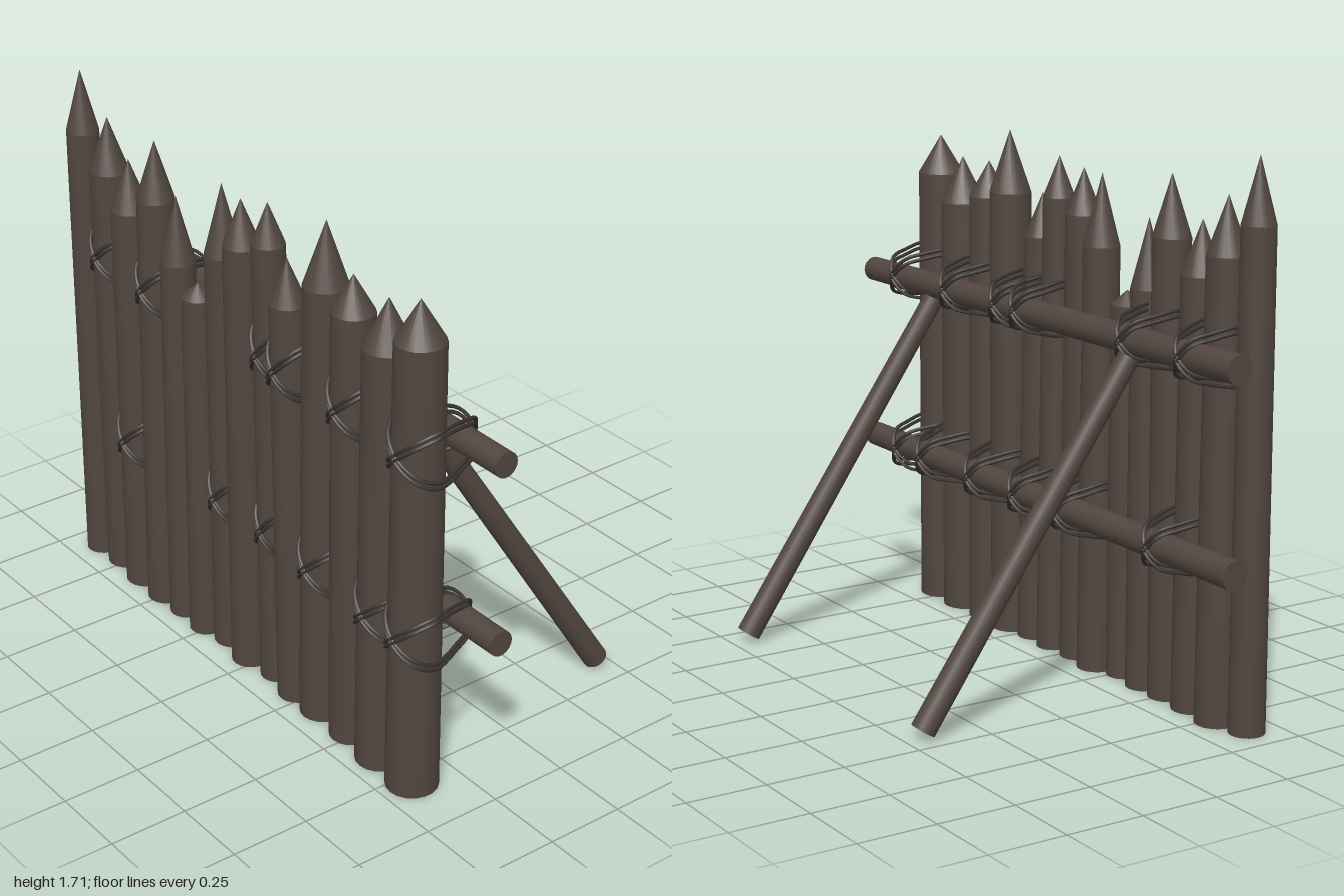
import * as THREE from 'three';
import { mergeGeometries } from 'three/addons/utils/BufferGeometryUtils.js';

const RAIL_Z = 0.247;

// Each stake: base x, tip x, z, base radius, shoulder height, tip height
const STAKES = [
  [-0.89, -0.89, 0.39, 0.056, 1.51, 1.71],
  [-0.77, -0.777, 0.37, 0.067, 1.41, 1.585],
  [-0.635, -0.64, 0.385, 0.067, 1.33, 1.495],
  [-0.505, -0.483, 0.39, 0.064, 1.42, 1.61],
  [-0.39, -0.38, 0.385, 0.06, 1.25, 1.465],
  [-0.267, -0.26, 0.395, 0.055, 1.18, 1.225],
  [-0.16, -0.165, 0.365, 0.062, 1.35, 1.575],
  [-0.035, -0.04, 0.385, 0.062, 1.43, 1.575],
  [0.088, 0.072, 0.37, 0.055, 1.47, 1.6],
  [0.21, 0.185, 0.385, 0.061, 1.33, 1.47],
  [0.33, 0.36, 0.375, 0.073, 1.45, 1.65],
  [0.48, 0.49, 0.38, 0.07, 1.42, 1.535],
  [0.63, 0.655, 0.385, 0.08, 1.38, 1.53],
  [0.787, 0.803, 0.392, 0.081, 1.46, 1.585],
];

// Stakes tied to each rail
const UPPER_TIES = [1, 3, 8, 9, 11, 13];
const LOWER_TIES = [2, 6, 8, 10, 12, 13];

// Sharpened log, sheared sideways so that it leans
function stakeGeometry([x0, x1, z, r, shoulder, tip]) {
  const top = r * 0.93;
  const shaft = new THREE.CylinderGeometry(top, r, shoulder, 18, 3).translate(0, shoulder / 2, 0);
  const point = new THREE.ConeGeometry(top, tip - shoulder, 18, 1, true)
    .translate(0, (shoulder + tip) / 2, 0);
  const geo = mergeGeometries([shaft, point]);
  const p = geo.attributes.position;
  for (let i = 0; i < p.count; i++) {
    p.setX(i, p.getX(i) + x0 + ((x1 - x0) * p.getY(i)) / tip);
  }
  return geo.translate(0, 0, z);
}

// Straight round pole between two points
function pole(name, a, b, rA, rB, material) {
  const from = new THREE.Vector3(...a);
  const to = new THREE.Vector3(...b);
  const dir = to.clone().sub(from);
  const mesh = new THREE.Mesh(new THREE.CylinderGeometry(rB, rA, dir.length(), 18), material);
  mesh.name = name;
  mesh.position.copy(from).add(to).multiplyScalar(0.5);
  mesh.quaternion.setFromUnitVectors(new THREE.Vector3(0, 1, 0), dir.normalize());
  return mesh;
}

// Crossed double rope around a stake and the rail behind it
function lashing(stake, y, material) {
  const [x0, x1, z, r, , tip] = stake;
  const x = x0 + ((x1 - x0) * y) / tip;
  const strands = [];
  for (const s of [-1, 1]) {
    for (const d of [-0.009, 0.009]) {
      const path = [
        [0, 0, z + r + 0.004],
        [r * 0.72, 0.05 * s, z + r * 0.74],
        [r * 1.06, 0.078 * s, z],
        [0.055, 0.065 * s, RAIL_Z + 0.03],
        [0.035, 0.048 * s, RAIL_Z - 0.025],
        [0, 0, RAIL_Z - 0.052],
        [-0.035, -0.048 * s, RAIL_Z - 0.025],
        [-0.055, -0.065 * s, RAIL_Z + 0.03],
        [-r * 1.06, -0.078 * s, z],
        [-r * 0.72, -0.05 * s, z + r * 0.74],
      ].map(([px, py, pz]) => new THREE.Vector3(x + px, y + py + d, pz));
      const curve = new THREE.CatmullRomCurve3(path, true);
      strands.push(new THREE.TubeGeometry(curve, 48, 0.006, 6, true));
    }
  }
  const mesh = new THREE.Mesh(mergeGeometries(strands), material);
  mesh.name = 'ropeLashing';
  return mesh;
}

export function createModel() {
  const model = new THREE.Group();
  model.name = 'palisade';
  const wood = new THREE.MeshStandardMaterial({ color: 0x51463f });
  wood.name = 'darkWood';
  const rope = new THREE.MeshStandardMaterial({ color: 0x35312e });
  rope.name = 'rope';

  // Row of stakes
  const stakes = new THREE.Group();
  stakes.name = 'stakes';
  STAKES.forEach((s, i) => {
    const mesh = new THREE.Mesh(stakeGeometry(s), wood);
    mesh.name = `stake${i + 1}`;
    stakes.add(mesh);
  });
  model.add(stakes);

  // Horizontal rails
  model.add(pole('upperRail', [-1, 1.128, RAIL_Z], [1, 1.116, RAIL_Z], 0.045, 0.04, wood));
  model.add(pole('lowerRail', [-1, 0.53, RAIL_Z], [1, 0.538, RAIL_Z], 0.045, 0.04, wood));

  // Slanted supports at the back
  for (const x of [-0.525, 0.56]) {
    model.add(pole('backBrace', [x + 0.095, 0.028, -0.445], [x, 1.085, 0.21], 0.039, 0.034, wood));
  }

  // Rope lashings
  UPPER_TIES.forEach((i) => model.add(lashing(STAKES[i], 1.125, rope)));
  LOWER_TIES.forEach((i) => model.add(lashing(STAKES[i], 0.53, rope)));
  return model;
}
